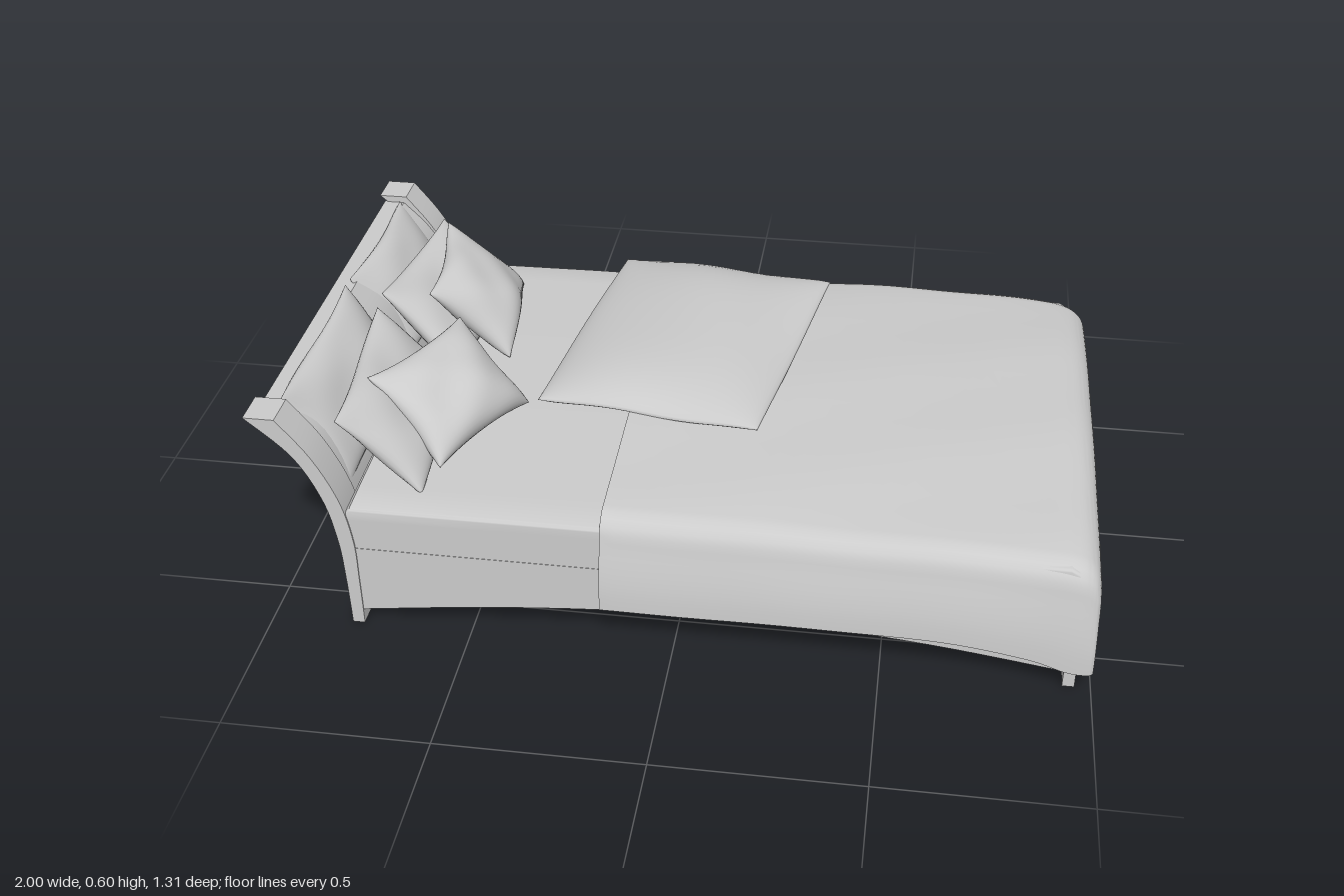
import * as THREE from 'three';
import { mergeVertices, toCreasedNormals } from 'three/addons/utils/BufferGeometryUtils.js';

const grey = new THREE.MeshStandardMaterial({ color: 0xcccccc });
const cloth = new THREE.MeshStandardMaterial({ color: 0xcccccc, side: THREE.DoubleSide });
const V2 = (x, y) => new THREE.Vector2(x, y);

function add(group, name, geometry, material = grey) {
  const mesh = new THREE.Mesh(geometry, material);
  mesh.name = name;
  group.add(mesh);
  return mesh;
}

// Side profile (x, y) extruded from z0 to z1
function slab(points, z0, z1) {
  const geo = new THREE.ExtrudeGeometry(new THREE.Shape(points), { depth: z1 - z0, bevelEnabled: false });
  geo.translate(0, 0, z0);
  return toCreasedNormals(geo, 0.5);
}

function box(x0, x1, y0, y1, z0, z1) {
  const geo = new THREE.BoxGeometry(x1 - x0, y1 - y0, z1 - z0);
  return geo.translate((x0 + x1) / 2, (y0 + y1) / 2, (z0 + z1) / 2);
}

// Open sheet of inverted-U sections; stations are [x, top, halfWidth, hem]
function drape(stations, steps, { r, flare, crown, ripple }) {
  const channel = [0, 1, 2, 3].map(k => new THREE.SplineCurve(stations.map((s, i) => V2(i, s[k]))));
  const rows = (stations.length - 1) * steps, pos = [], index = [];
  let cols = 0;
  for (let i = 0; i <= rows; i++) {
    const [x, top, half, hem] = channel.map(c => c.getPoint(i / rows).y);
    const rad = Math.min(r, (top - hem) * 0.8), side = [];
    for (let k = 0; k < 5; k++) {
      const f = k / 5;
      side.push([half + flare * Math.cos(f * Math.PI / 2), hem + (top - rad - hem) * f]);
    }
    for (let k = 0; k <= 5; k++) {
      const a = k / 5 * Math.PI / 2;
      side.push([half - rad + rad * Math.cos(a), top - rad + rad * Math.sin(a)]);
    }
    for (let k = 1; k <= 8; k++) {
      const z = (half - rad) * (1 - k / 8);
      side.push([z, top + crown * (1 - (z / (half - rad)) ** 2)]);
    }
    const section = [...side, ...side.slice(0, -1).reverse().map(([z, y]) => [-z, y])];
    cols = section.length;
    for (const [z, y] of section) {
      const w = ripple * Math.sin(x * 11 + z * 6) * Math.cos(z * 9 - x * 4);
      pos.push(x, y + w, z * (1 + w));
    }
  }
  for (let i = 0; i < rows; i++) for (let j = 0; j < cols - 1; j++) {
    const a = i * cols + j, b = a + cols;
    index.push(a, b, a + 1, b, b + 1, a + 1);
  }
  const geo = new THREE.BufferGeometry();
  geo.setAttribute('position', new THREE.Float32BufferAttribute(pos, 3));
  geo.setIndex(index);
  return toCreasedNormals(geo, 0.7);
}

// Closed soft form: place(u, v, swell) gives a point, u and v in -1..1
function softForm(power, place) {
  let geo = new THREE.BoxGeometry(2, 2, 2, 22, 22, 1);
  const p = geo.attributes.position;
  for (let i = 0; i < p.count; i++) {
    const u = Math.sin(p.getX(i) * Math.PI / 2), v = Math.sin(p.getY(i) * Math.PI / 2);
    const edge = t => Math.sqrt(Math.max(0, 1 - Math.abs(t) ** power));
    p.setXYZ(i, ...place(u, v, Math.sign(p.getZ(i)) * edge(u) * edge(v)));
  }
  geo.deleteAttribute('normal');
  geo.deleteAttribute('uv');
  geo = mergeVertices(geo, 1e-5);
  geo.computeVertexNormals();
  return geo;
}

function pillowGeometry(w, h, t, pinch, seed) {
  return softForm(2.6, (u, v, s) => [
    u * w / 2 * (1 - pinch * (1 - v * v)),
    v * h / 2 * (1 - pinch * (1 - u * u)),
    s * t / 2 * (1 - 0.2 * v + 0.1 * Math.sin(u * 5 + seed) * Math.cos(v * 4 + seed)) + 0.008 * Math.sin(u * 3 + seed)
  ]);
}

export function createModel() {
  const bed = new THREE.Group();
  bed.name = 'bed';

  // Headboard: curved posts with a slightly recessed panel
  const back = [V2(-0.8, 0), V2(-0.803, 0.14), V2(-0.81, 0.25), V2(-0.835, 0.37), V2(-0.895, 0.49), V2(-1, 0.59)];
  const front = [V2(-0.925, 0.59), V2(-0.85, 0.49), V2(-0.795, 0.37), V2(-0.772, 0.25), V2(-0.77, 0.14), V2(-0.77, 0)];
  const curve = pts => new THREE.SplineCurve(pts).getPoints(24);
  const shift = (pts, dx) => pts.map(p => V2(p.x + dx, Math.min(p.y, 0.572)));
  const post = [...curve(back), ...curve(front)];
  const panel = [...curve(shift(back, 0.012)), ...curve(shift(front, -0.008))];
  add(bed, 'headboardPanel', slab(panel, -0.525, 0.525));

  // Arched side rail
  const arch = curve([V2(-0.775, 0.04), V2(-0.42, 0.085), V2(-0.05, 0.112), V2(0.32, 0.112), V2(0.63, 0.086), V2(0.94, 0.042)]);
  const rail = [...arch, V2(0.94, 0.23), V2(-0.775, 0.23)];

  for (const [side, s] of [['left', -1], ['right', 1]].map(([n, k]) => [n, n === 'left' ? 1 : -1])) {
    const span = (a, b) => (s > 0 ? [a, b] : [-b, -a]);
    add(bed, side + 'HeadboardPost', slab(post, ...span(0.52, 0.61)));
    add(bed, side + 'Rail', slab(rail, ...span(0.58, 0.607)));
    add(bed, side + 'FootLeg', box(0.933, 0.962, 0, 0.225, ...span(0.525, 0.61)));
  }
  add(bed, 'footboard', box(0.925, 0.948, 0.04, 0.225, -0.53, 0.53));

  // Mattress, open underneath
  add(bed, 'mattress', drape(
    [[-0.785, 0.232, 0.606, 0.225], [-0.785, 0.335, 0.606, 0.225], [-0.775, 0.346, 0.606, 0.225],
      [-0.4, 0.35, 0.606, 0.225], [0.3, 0.35, 0.606, 0.225], [0.92, 0.346, 0.606, 0.225],
      [0.94, 0.335, 0.606, 0.225], [0.94, 0.232, 0.606, 0.225]],
    1, { r: 0.012, flare: 0, crown: 0.012, ripple: 0 }), cloth);

  // Duvet hanging over the sides and the foot
  add(bed, 'duvet', drape(
    [[-0.17, 0.378, 0.614, 0.135], [0.2, 0.378, 0.618, 0.14], [0.6, 0.374, 0.622, 0.137], [0.83, 0.365, 0.622, 0.11],
      [0.93, 0.355, 0.62, 0.078], [0.978, 0.328, 0.612, 0.066], [0.996, 0.28, 0.605, 0.066],
      [0.995, 0.24, 0.595, 0.07], [0.982, 0.212, 0.575, 0.08]],
    7, { r: 0.065, flare: 0.03, crown: 0.026, ripple: 0.004 }), cloth);

  // Folded throw laid at an angle; corners are [x, y, z]
  const corners = [[-0.415, 0.388, 0.14], [0.16, 0.417, 0.255], [0.28, 0.415, -0.5], [-0.315, 0.382, -0.625]];
  add(bed, 'throw', softForm(10, (u, v, s) => {
    const a = (1 + u) / 2, b = (1 + v) / 2;
    const weight = [(1 - a) * (1 - b), a * (1 - b), a * b, (1 - a) * b];
    const [x, y, z] = [0, 1, 2].map(k => corners.reduce((sum, c, i) => sum + c[k] * weight[i], 0));
    const bump = 0.048 * (1 - u * u) * (1 - v ** 4) + 0.004 * Math.sin(u * 5 + v * 3);
    return [x, y + bump + s * 0.016, z];
  }));

  // Pillows: [name, x, y, z, width, height, thickness, lean, yaw, roll, pinch]
  const pillows = [
    ['leftBackPillow', -0.872, 0.47, 0.255, 0.53, 0.28, 0.1, 0.52, 0, 0.02, 0.05],
    ['rightBackPillow', -0.872, 0.467, -0.285, 0.46, 0.27, 0.1, 0.52, 0, -0.02, 0.05],
    ['leftMiddlePillow', -0.735, 0.452, 0.28, 0.51, 0.28, 0.11, 0.74, 0.06, 0.03, 0.06],
    ['rightMiddlePillow', -0.735, 0.455, -0.225, 0.45, 0.29, 0.11, 0.74, -0.08, -0.04, 0.06],
    ['leftCushion', -0.605, 0.473, 0.255, 0.36, 0.28, 0.12, 0.85, -0.37, -0.06, 0.1],
    ['rightCushion', -0.652, 0.475, -0.245, 0.36, 0.28, 0.12, 0.78, 0.05, 0.08, 0.1]
  ];
  pillows.forEach(([name, x, y, z, w, h, t, lean, yaw, roll, pinch], i) => {
    const pillow = add(bed, name, pillowGeometry(w, h, t, pinch, i * 1.7));
    pillow.position.set(x, y, z);
    pillow.rotation.set(-lean, Math.PI / 2 + yaw, roll, 'YXZ');
  });
  return bed;
}
